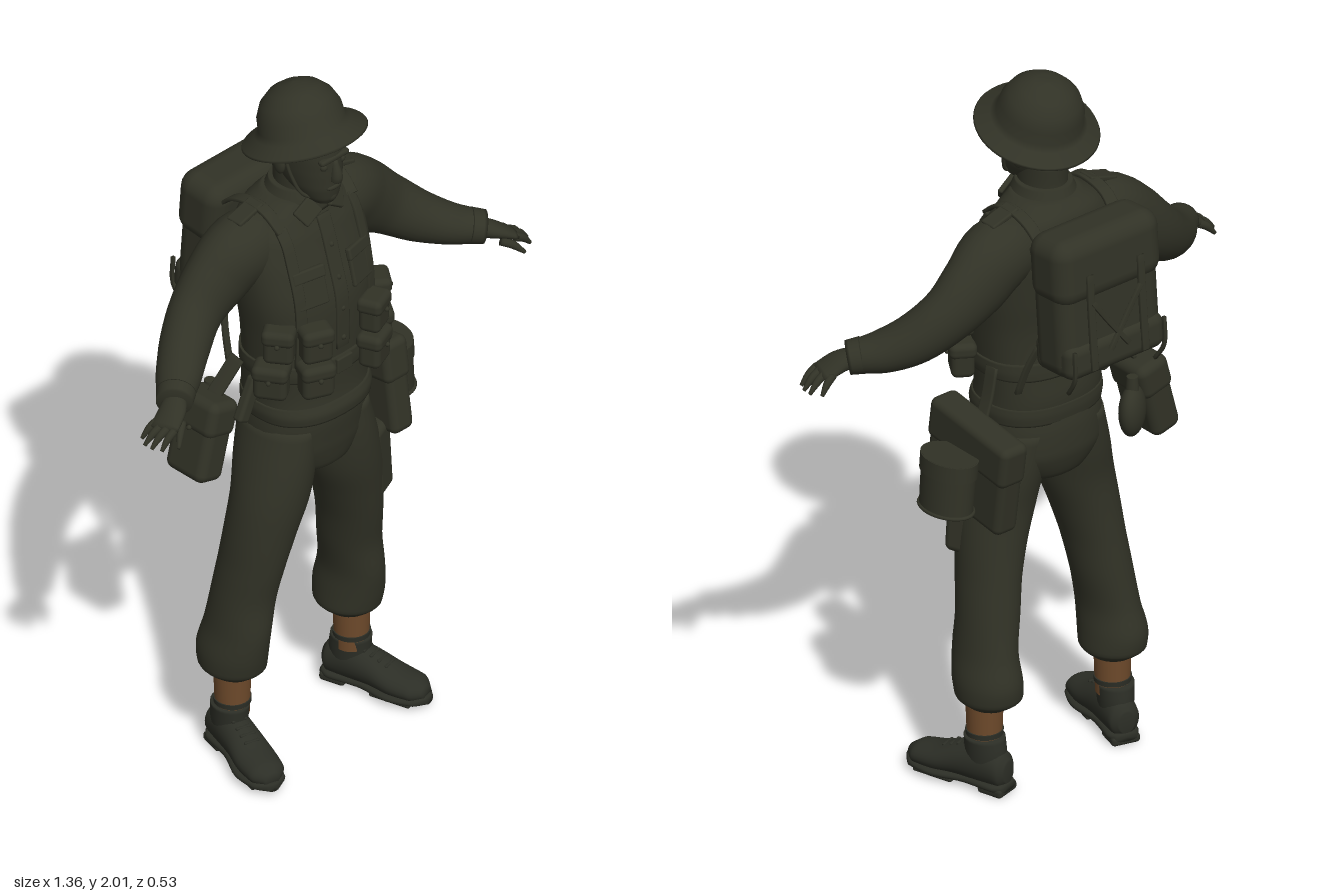
import * as THREE from 'three';
import { RoundedBoxGeometry } from 'three/addons/geometries/RoundedBoxGeometry.js';

const olive = new THREE.MeshStandardMaterial({ color: 0x313226 });
olive.name = 'olive cloth';
const leather = new THREE.MeshStandardMaterial({ color: 0x2c2e26 });
leather.name = 'boot leather';
const brown = new THREE.MeshStandardMaterial({ color: 0x6e4a2b });
brown.name = 'brown gaiter';

const V = (x, y, z) => new THREE.Vector3(x, y, z);
const Y = V(0, 1, 0), Z = V(0, 0, 1);

// Closed body swept through rows [x, y, z, halfWidth, halfHeight]; p < 1 squares the section
function sweep(rows, { up = Z, dir = null, p = 1, seg = 24, steps = 5 } = {}) {
  const centres = new THREE.CatmullRomCurve3(rows.map(r => V(r[0], r[1], r[2])));
  const radii = new THREE.CatmullRomCurve3(rows.map(r => V(r[3], r[4], 0)));
  const n = (rows.length - 1) * steps, pos = [], idx = [];
  const bend = v => Math.sign(v) * Math.abs(v) ** p;
  for (let i = 0; i <= n; i++) {
    const c = centres.getPoint(i / n), r = radii.getPoint(i / n);
    const t = dir || centres.getTangent(i / n);
    const u = up.clone().cross(t).normalize(), v = t.clone().cross(u);
    for (let j = 0; j < seg; j++) {
      const a = j / seg * Math.PI * 2;
      const q = c.clone().addScaledVector(u, r.x * bend(Math.cos(a))).addScaledVector(v, r.y * bend(Math.sin(a)));
      pos.push(q.x, q.y, q.z);
      const k = i * seg + j, m = i * seg + (j + 1) % seg;
      if (i < n) idx.push(k, m, m + seg, k, m + seg, k + seg);
    }
  }
  const first = rows[0], last = rows[rows.length - 1], e = (n + 1) * seg;
  pos.push(...first.slice(0, 3), ...last.slice(0, 3));
  for (let j = 0; j < seg; j++) {
    const m = (j + 1) % seg;
    idx.push(e, m, j, e + 1, n * seg + j, n * seg + m);
  }
  const g = new THREE.BufferGeometry();
  g.setAttribute('position', new THREE.Float32BufferAttribute(pos, 3));
  g.setIndex(idx);
  g.computeVertexNormals();
  return g;
}

// Upright body from rows [y, halfWidth, frontZ, backZ]
const upright = (rows, p = 1) => sweep(
  rows.map(([y, w, f, b]) => [0, y, (f + b) / 2, w, (f - b) / 2]), { dir: Y, p, seg: 40 });

const TORSO = [
  [1.06, .172, .208, -.07], [1.12, .17, .2, -.075], [1.2, .175, .2, -.068], [1.32, .185, .203, -.068],
  [1.42, .197, .198, -.08], [1.52, .2, .17, -.09], [1.6, .185, .145, -.09], [1.65, .145, .125, -.08], [1.69, .085, .112, -.05]];

// Point on the jacket surface, front (side = 1) or back (side = -1)
function onTorso(x, y, side = 1, lift = 0) {
  let i = 0;
  while (i < TORSO.length - 2 && TORSO[i + 1][0] < y) i++;
  const k = (y - TORSO[i][0]) / (TORSO[i + 1][0] - TORSO[i][0]);
  const [, w, f, b] = TORSO[i].map((v, j) => v + (TORSO[i + 1][j] - v) * k);
  const c = Math.min(1, Math.abs(x) / w) ** (1 / .85);
  return V(x, y, (f + b) / 2 + side * ((f - b) / 2 * Math.sqrt(1 - c * c) ** .85 + lift));
}

export function createModel() {
  const root = new THREE.Group();
  root.name = 'soldier';
  const add = (name, geo, mat = olive, pos = [0, 0, 0], rot = [0, 0, 0], parent = root) => {
    const m = new THREE.Mesh(geo, mat);
    m.name = name;
    m.position.set(...pos);
    m.rotation.set(...rot);
    parent.add(m);
    return m;
  };
  const group = (name, pos, rot = [0, 0, 0]) => {
    const g = new THREE.Group();
    g.name = name;
    g.position.set(...pos);
    g.rotation.set(...rot);
    root.add(g);
    return g;
  };
  const box = (w, h, d, r = .012) => new RoundedBoxGeometry(w, h, d, 3, r);
  const strap = (name, pts, up = Z, w = .016, parent = root) => add(name,
    sweep(pts.map(q => [...q, w, .005]), { up, p: .3, seg: 16, steps: 4 }), olive, [0, 0, 0], [0, 0, 0], parent);
  // Flapped bag: body, lid and stud
  const bag = (name, w, h, d, pos, rot) => {
    const g = group(name, pos, rot), r = Math.min(w, h, d) * .28;
    add('bagBody', box(w, h, d, r), olive, [0, 0, 0], [0, 0, 0], g);
    add('bagFlap', box(w + .008, h * .45, d + .012, r), olive, [0, h * .29, 0], [0, 0, 0], g);
    add('bagStud', new THREE.SphereGeometry(.007, 10, 8), olive, [0, h * .12, d / 2 + .006], [0, 0, 0], g);
    return g;
  };

  // Jacket, hem, belt and trouser seat
  add('jacket', upright(TORSO, .85));
  add('hemBand', upright([[1.05, .174, .212, -.074], [1.075, .177, .214, -.077], [1.1, .173, .206, -.076]], .85));
  add('belt', upright([[1.185, .179, .206, -.075], [1.21, .183, .208, -.075], [1.235, .182, .207, -.074]], .85));
  add('buckle', box(.055, .045, .012, .004), olive, [0, 1.21, .209]);
  add('trouserSeat', upright([[.845, .05, .13, .0], [.88, .12, .175, -.055], [.95, .172, .192, -.08], [1.02, .172, .2, -.08], [1.08, .165, .2, -.07]], .9));
  const placket = [1.26, 1.34, 1.42, 1.5, 1.58, 1.64].map(y => onTorso(0, y, 1, .001).toArray());
  strap('placket', placket, Z, .022);
  for (const y of [1.29, 1.38, 1.47, 1.56])
    add('button', new THREE.SphereGeometry(.008, 10, 8), olive, onTorso(0, y, 1, .004).toArray());

  // Neck and head
  add('neck', upright([[1.62, .075, .11, -.045], [1.7, .062, .115, -.03], [1.78, .06, .11, -.035]]));
  add('collar', upright([[1.65, .105, .13, -.065], [1.69, .083, .125, -.05], [1.715, .072, .115, -.04]]));
  add('head', upright([[1.692, .03, .162, .09], [1.71, .047, .172, .05], [1.745, .064, .178, .0],
    [1.79, .073, .179, -.035], [1.84, .077, .178, -.05], [1.9, .075, .17, -.045]], .92));
  add('nose', sweep([[0, 1.772, .178, .016, .018], [0, 1.785, .182, .016, .017], [0, 1.83, .174, .008, .008]], { seg: 12 }));
  add('mouth', new THREE.SphereGeometry(1, 16, 8), olive, [0, 1.748, .172]).scale.set(.026, .009, .01);
  add('chin', new THREE.SphereGeometry(.022, 16, 10), olive, [0, 1.715, .153]);
  add('brow', box(.1, .016, .02, .007), olive, [0, 1.838, .171]);

  // Steel helmet, tilted back
  const shell = [[0, .005], [.1, .005], [.16, -.014], [.167, -.01], [.164, -.005], [.128, .017], [.115, .03], [.112, .065],
    [.096, .1], [.068, .127], [.035, .142], [0, .146]].map(q => new THREE.Vector2(...q));
  add('helmet', new THREE.LatheGeometry(shell, 48), olive, [0, 1.862, .062], [-.3, 0, 0]);

  // Backpack with lid, cords and hanging ends
  const pack = group('backpack', [0, 1.47, -.172], [.08, 0, 0]);
  add('packBody', box(.335, .39, .14, .045), olive, [0, 0, 0], [0, 0, 0], pack);
  add('packLid', box(.35, .19, .155, .05), olive, [0, .108, -.004], [0, 0, 0], pack);
  add('packBase', box(.325, .1, .155, .03), olive, [0, -.14, -.004], [0, 0, 0], pack);

  for (const s of [1, -1]) {
    const side = s > 0 ? 'left' : 'right';
    const part = (name, geo, mat, pos, rot) => add(side + name, geo, mat, pos, rot);

    // Sleeves, hands and fingers
    part('Sleeve', sweep([[.08, 1.56, .02, .09, .08], [.18, 1.56, .012, .103, .09], [.26, 1.505, .005, .1, .078],
      [.34, 1.445, .012, .082, .068], [.42, 1.385, .05, .069, .066], [.49, 1.35, .1, .055, .06],
      [.555, 1.335, .15, .042, .045]].map(([x, ...r]) => [x * s, ...r])));
    part('Cuff', sweep([[.53, 1.34, .132, .048, .052], [.56, 1.333, .155, .044, .048]].map(([x, ...r]) => [x * s, ...r])));
    part('Palm', sweep([[.545, 1.335, .145, .026, .03], [.58, 1.322, .168, .022, .038], [.628, 1.297, .185, .013, .042]]
      .map(([x, ...r]) => [x * s, ...r])));
    const digits = [[.615, .15, .66, .138], [.62, .172, .678, .166], [.622, .193, .677, .191], [.615, .212, .665, .216], [.575, .2, .625, .238]];
    for (const [x0, z0, x1, z1] of digits)
      part('Finger', sweep([[x0 * s, 1.302, z0, .012, .012], [(x0 + x1) / 2 * s, 1.288, (z0 + z1) / 2, .011, .01],
        [x1 * s, 1.262, z1, .005, .005]], { seg: 10 }));

    // Trouser legs gathered above the ankle
    part('TrouserLeg', sweep([[.207, .245, .012, .055, .06], [.208, .275, .01, .084, .096], [.21, .325, .013, .083, .104],
      [.205, .4, .027, .074, .1], [.19, .5, .035, .077, .093], [.175, .6, .05, .08, .096], [.155, .7, .062, .09, .1],
      [.13, .8, .07, .1, .107], [.11, .9, .066, .096, .118], [.09, 1.02, .06, .08, .122]]
      .map(([x, ...r]) => [x * s, ...r]), { dir: Y, seg: 32 }));

    // Gaiter with buckled straps
    part('Gaiter', new THREE.CylinderGeometry(.05, .045, .14, 28), brown, [.215 * s, .195, .018]);
    part('GaiterStrap', new THREE.CylinderGeometry(.05, .049, .014, 28), leather, [.215 * s, .165, .018]);

    // Boot, turned outward
    const boot = group(side + 'Boot', [.215 * s, 0, 0], [0, .27 * s, 0]);
    const along = { up: Y, dir: Z, seg: 24 };
    const bits = [
      ['bootUpper', sweep([[0, .065, -.062, .022, .03], [0, .068, -.045, .042, .05], [0, .075, .01, .047, .06], [0, .068, .08, .05, .05],
        [0, .052, .15, .056, .038], [0, .046, .21, .05, .031], [0, .042, .24, .02, .015]], along)],
      ['bootShaft', sweep([[0, .05, .01, .042, .055], [0, .11, .01, .047, .058], [0, .155, .014, .05, .056]], { dir: Y })],
      ['bootSole', sweep([[0, .024, -.063, .03, .012], [0, .024, -.03, .045, .013], [0, .024, .05, .042, .013],
        [0, .024, .15, .062, .013], [0, .024, .22, .048, .013], [0, .024, .248, .015, .012]], { ...along, p: .75 })],
      ['bootHeel', box(.08, .026, .075, .01).translate(0, .013, -.025)],
      ['bootTread', box(.09, .014, .12, .006).translate(0, .011, .15)]];
    for (let i = 0; i < 4; i++) bits.push(['bootLace', box(.044, .008, .009, .003).translate(0, .122 - i * .009, .062 + i * .022)]);
    for (const [n, g] of bits) add(n, g, leather, [0, 0, 0], [0, 0, 0], boot);

    // Ears, eyelids, chin strap and collar points
    part('Ear', new THREE.SphereGeometry(1, 14, 10), olive, [.077 * s, 1.795, .05]).scale.set(.011, .03, .02);
    part('Eye', new THREE.SphereGeometry(.011, 12, 8), olive, [.032 * s, 1.818, .166]);
    part('ChinStrap', new THREE.TubeGeometry(new THREE.CatmullRomCurve3([V(.095 * s, 1.865, .08), V(.082 * s, 1.78, .1),
      V(.06 * s, 1.725, .12), V(0, 1.695, .145)]), 20, .005, 8));
    part('CollarPoint', box(.062, .055, .014, .005), olive, [.05 * s, 1.668, .126], [-.45, .35 * s, -.5 * s]);

    // Breast pocket, shoulder tab and webbing brace
    part('BreastPocket', box(.09, .1, .014, .006), olive, onTorso(.088 * s, 1.465, 1, -.001).toArray(), [-.25, .3 * s, 0]);
    part('PocketFlap', box(.096, .035, .016, .006), olive, onTorso(.088 * s, 1.508, 1, .002).toArray(), [-.28, .3 * s, 0]);
    part('ShoulderTab', box(.09, .014, .05, .005), olive, [.165 * s, 1.668, .015], [0, 0, -.3 * s]);
    const front = [1.24, 1.34, 1.44, 1.54, 1.6, 1.635].map(y => onTorso(.125 * s, y, 1, .004).toArray());
    strap(side + 'FrontBrace', front, V(.3 * s, .1, 1));
    strap(side + 'ShoulderBrace', [[.125 * s, 1.63, .11], [.13 * s, 1.67, .06], [.13 * s, 1.678, .01], [.13 * s, 1.66, -.06], [.125 * s, 1.61, -.11]], V(0, 1, .01), .018);
    strap(side + 'BackBrace', [1.22, 1.3, 1.4, 1.5, 1.6].map((y, i) => onTorso((.05 + i * .018) * s, y, -1, .004).toArray()), V(0, .1, -1));
    strap(side + 'PackTie', [[.13 * s, 1.32, -.1], [.15 * s, 1.25, -.075], [.16 * s, 1.17, -.05]], V(0, .2, -1), .01);

    // Two rows of ammunition pouches round the belt
    bag(side + 'UpperFrontPouch', .082, .1, .06, [.105 * s, 1.325, .212], [0, .4 * s, 0]);
    bag(side + 'UpperSidePouch', .08, .1, .06, [.176 * s, 1.325, .15], [0, .95 * s, 0]);
    bag(side + 'LowerFrontPouch', .088, .1, .062, [.105 * s, 1.215, .213], [0, .4 * s, 0]);
    bag(side + 'LowerSidePouch', .09, .1, .062, [.192 * s, 1.215, .138], [0, 1.0 * s, 0]);

    // Cords and buckled straps on the pack
    strap('packStrap', [[.085 * s, .1, -.084], [.085 * s, 0, -.083], [.085 * s, -.17, -.084]], V(0, 0, -1), .011, pack);
    strap('packCross', [[.08 * s, .02, -.086], [.03 * s, -.05, -.084], [-.03 * s, -.13, -.086]], V(0, 0, -1), .007, pack);
    strap('packLoose', [[.15 * s, -.1, -.086], [.15 * s, -.18, -.08], [.145 * s, -.23, -.045]], V(0, 0, -1), .005, pack);
  }

  // Left hip: haversack with mess tin, and thigh pocket
  bag('haversack', .3, .27, .075, [.25, .965, .015], [0, Math.PI / 2, .16]).rotation.set(0, Math.PI / 2, 0);
  root.getObjectByName('haversack').rotation.x = -.14;
  strap('haversackStrap', [[.18, 1.22, .03], [.2, 1.14, .025], [.225, 1.08, .02]], V(1, 0, 0), .02);
  const tin = group('messTin', [.345, .952, .01], [0, 0, .08]);
  tin.scale.z = 1.3;
  add('tinBody', new THREE.CylinderGeometry(.064, .062, .15, 32), olive, [0, 0, 0], [0, 0, 0], tin);
  add('tinLid', new THREE.CylinderGeometry(.067, .067, .045, 32), olive, [0, .052, 0], [0, 0, 0], tin);
  add('tinRim', new THREE.TorusGeometry(.062, .005, 8, 32), olive, [0, -.073, 0], [Math.PI / 2, 0, 0], tin);
  add('thighPocket', box(.085, .22, .085, .02), olive, [.2, .77, .107], [0, .35, .1]);

  // Right hip: tool case, round bottle and hangers
  const toolCase = bag('toolCase', .14, .23, .09, [-.287, 1.01, -.025], [0, 0, 0]);
  toolCase.rotation.set(0, -Math.PI / 2, -.26, 'ZYX');
  strap('caseHanger', [[-.18, 1.21, .0], [-.215, 1.16, -.01], [-.25, 1.11, -.02]], V(-1, 0, 0), .022);
  add('waterBottle', new THREE.SphereGeometry(1, 24, 16), olive, [-.195, 1.005, -.085], [0, .6, 0]).scale.set(.058, .072, .034);
  add('bottleNeck', new THREE.CylinderGeometry(.015, .018, .04, 16), olive, [-.195, 1.085, -.085]);
  add('frog', box(.04, .13, .03, .01), olive, [-.2, 1.12, .06], [0, 0, -.45]);
  return root;
}
